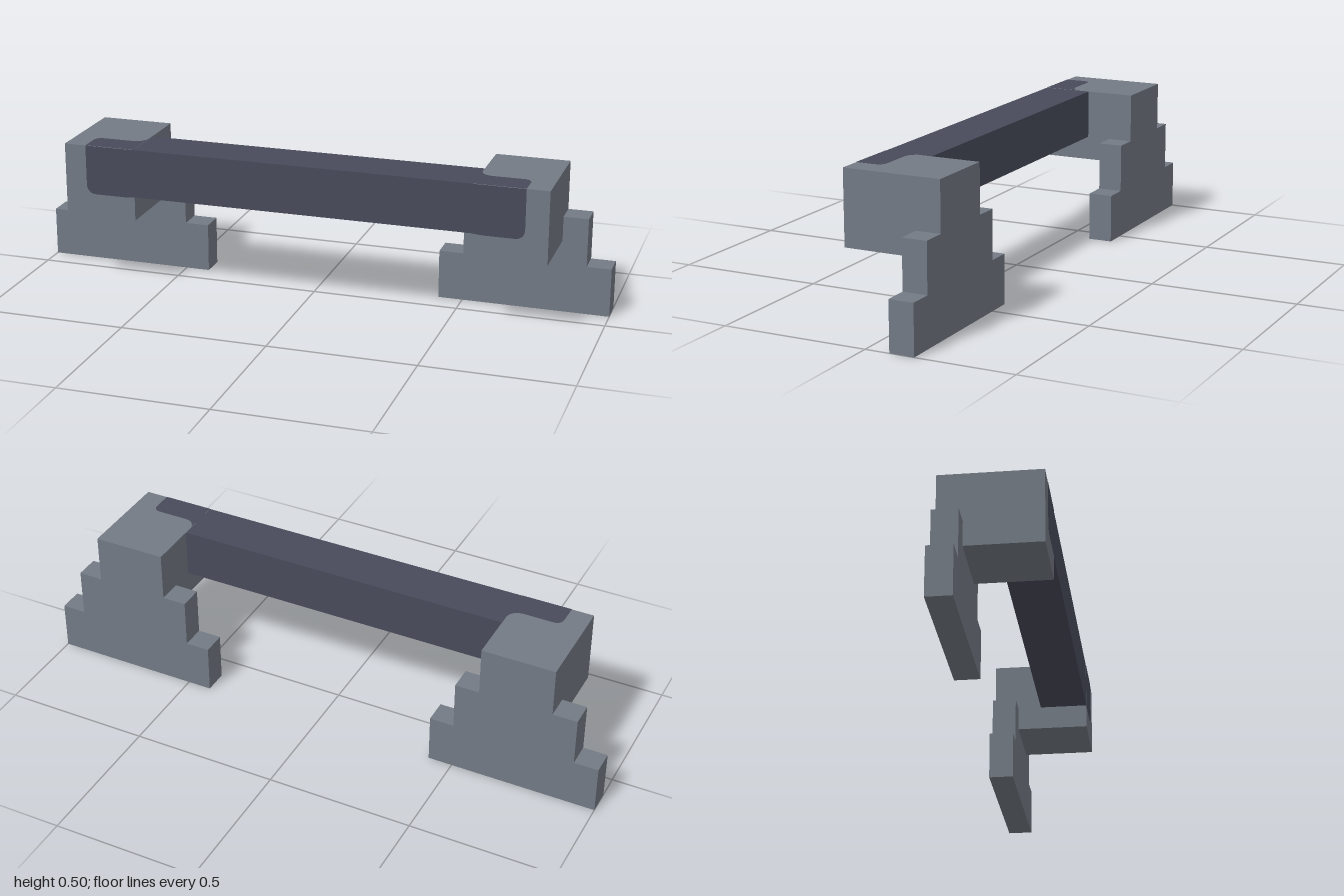
import * as THREE from 'three';

export function createModel() {
  const model = new THREE.Group();
  model.name = 'barHandle';

  const steel = new THREE.MeshStandardMaterial({ color: 0x737a84 });
  steel.name = 'grey steel';
  const grip = new THREE.MeshStandardMaterial({ color: 0x484a5a });
  grip.name = 'dark grip';

  const BACK = -0.167, PLATE_FRONT = -0.083, FRONT = 0.167, TOP = 0.5;

  function add(parent, name, geometry, material, x = 0, y = 0, z = 0) {
    const mesh = new THREE.Mesh(geometry, material);
    mesh.name = name;
    mesh.position.set(x, y, z);
    parent.add(mesh);
    return mesh;
  }

  // Grip bar between the two brackets
  add(model, 'gripBar', new THREE.BoxGeometry(1.167, 0.167, 0.167), grip, 0, 0.4165, 0.0835);

  for (const side of [-1, 1]) {
    const bracket = new THREE.Group();
    bracket.name = side > 0 ? 'leftBracket' : 'rightBracket';
    model.add(bracket);

    // Stepped mounting plate
    const steps = [
      [0.417, 0], [1, 0], [1, 0.167], [0.917, 0.167], [0.917, 0.333], [0.833, 0.333],
      [0.833, TOP], [0.583, TOP], [0.583, 0.333], [0.5, 0.333], [0.5, 0.167], [0.417, 0.167],
    ];
    const profile = new THREE.Shape(steps.map(([x, y]) => new THREE.Vector2(side * x, y)));
    const plate = new THREE.ExtrudeGeometry(profile, { depth: PLATE_FRONT - BACK, bevelEnabled: false });
    add(bracket, 'steppedPlate', plate, steel, 0, 0, BACK);

    // Block carrying the bar
    add(bracket, 'block', new THREE.BoxGeometry(0.25, 0.25, FRONT - PLATE_FRONT), steel,
      side * 0.708, 0.375, (FRONT + PLATE_FRONT) / 2);

    // Dark inlay on the block's front face, with a rounded lower corner
    const front = new THREE.Shape();
    front.moveTo(side * 0.583, TOP);
    front.lineTo(side * 0.583, 0.333);
    front.lineTo(side * 0.62, 0.33);
    front.lineTo(side * 0.725, 0.33);
    front.quadraticCurveTo(side * 0.757, 0.332, side * 0.757, 0.365);
    front.lineTo(side * 0.757, TOP);
    add(bracket, 'frontInlay', new THREE.ShapeGeometry(front, 6), grip, 0, 0, FRONT + 0.001);

    // Matching inlay on top, flaring into the bar at its inner end
    const top = new THREE.Shape();
    top.moveTo(side * 0.583, -FRONT);
    top.lineTo(side * 0.757, -FRONT);
    top.lineTo(side * 0.757, -0.1);
    top.quadraticCurveTo(side * 0.755, -0.074, side * 0.73, -0.073);
    top.lineTo(side * 0.625, -0.073);
    top.quadraticCurveTo(side * 0.59, -0.07, side * 0.583, -0.035);
    const topInlay = add(bracket, 'topInlay', new THREE.ShapeGeometry(top, 6), grip, 0, TOP + 0.001, 0);
    topInlay.rotation.x = -Math.PI / 2;
  }

  return model;
}
